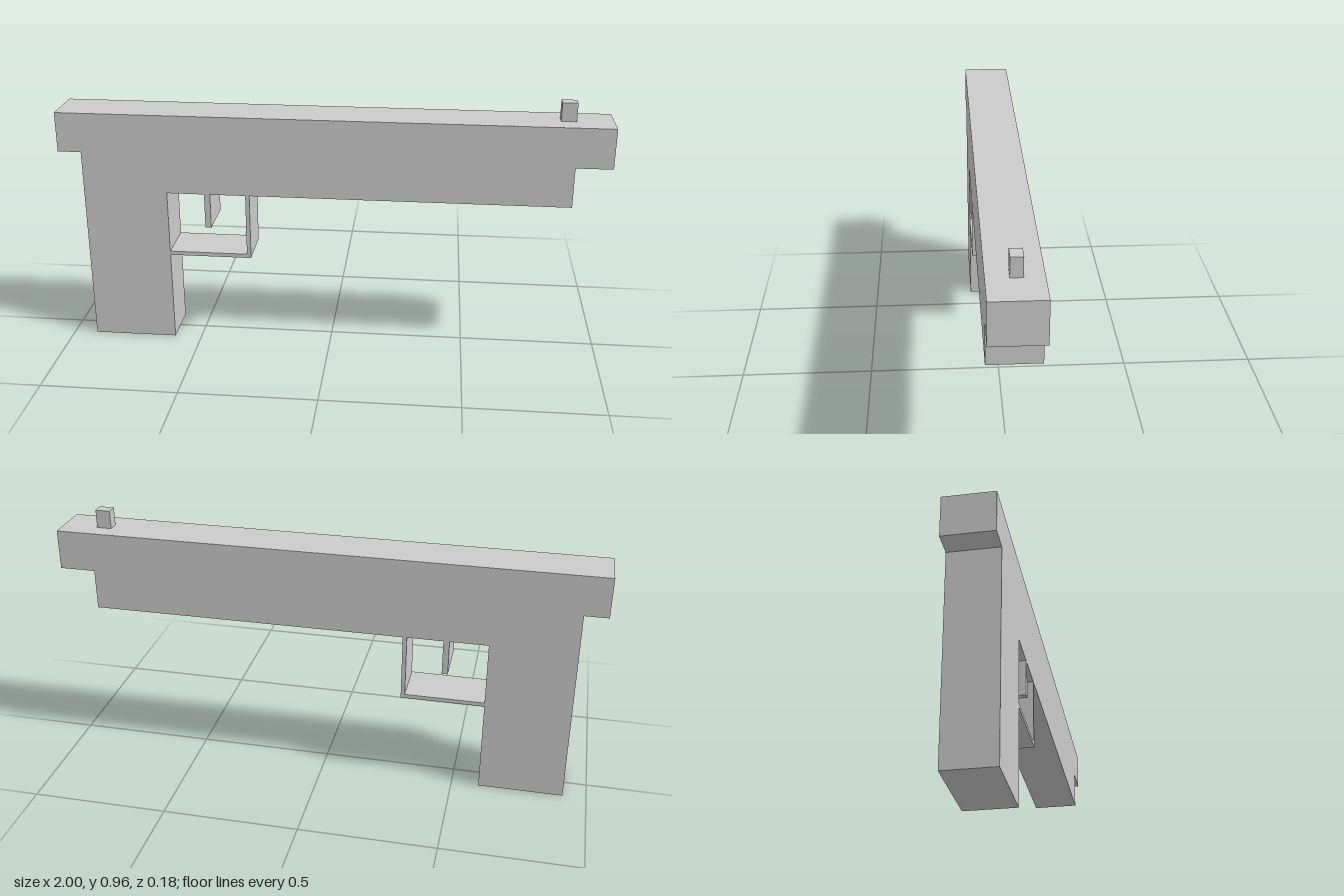
import * as THREE from 'three';

const DEPTH = 0.178;
const UNDER = 0.594; // underside of the frame

export function createModel() {
  const group = new THREE.Group();
  const material = new THREE.MeshStandardMaterial({ color: 0xcccccc, flatShading: true });

  // Side outline in x, y pushed through the full thickness
  const slab = (name, points) => {
    const shape = new THREE.Shape(points.map(([x, y]) => new THREE.Vector2(x, y)));
    const geometry = new THREE.ExtrudeGeometry(shape, { depth: DEPTH, bevelEnabled: false });
    geometry.translate(0, 0, -DEPTH / 2);
    const mesh = new THREE.Mesh(geometry, material);
    mesh.name = name;
    group.add(mesh);
  };

  // Box from its lower and upper corners
  const box = (name, [x0, y0, z0], [x1, y1, z1]) => {
    const mesh = new THREE.Mesh(new THREE.BoxGeometry(x1 - x0, y1 - y0, z1 - z0), material);
    mesh.position.set((x0 + x1) / 2, (y0 + y1) / 2, (z0 + z1) / 2);
    mesh.name = name;
    group.add(mesh);
  };

  // Barrel, frame and grip in one outline
  slab('body', [
    [-0.914, 0], [-0.602, 0], [-0.602, UNDER], [0.868, UNDER], [0.868, 0.743],
    [1, 0.743], [1, 0.891], [-1, 0.891], [-1, 0.743], [-0.914, 0.743],
  ]);

  // L-shaped guard from grip to frame
  slab('triggerGuard', [
    [-0.602, 0.345], [-0.295, 0.345], [-0.295, UNDER],
    [-0.31, UNDER], [-0.31, 0.36], [-0.602, 0.36],
  ]);

  box('trigger', [-0.463, 0.462, -DEPTH / 2], [-0.441, UNDER, DEPTH / 2]);

  // Front sight, slightly off centre
  box('frontSight', [0.813, 0.891, -0.025], [0.868, 0.959, 0.016]);

  return group;
}
